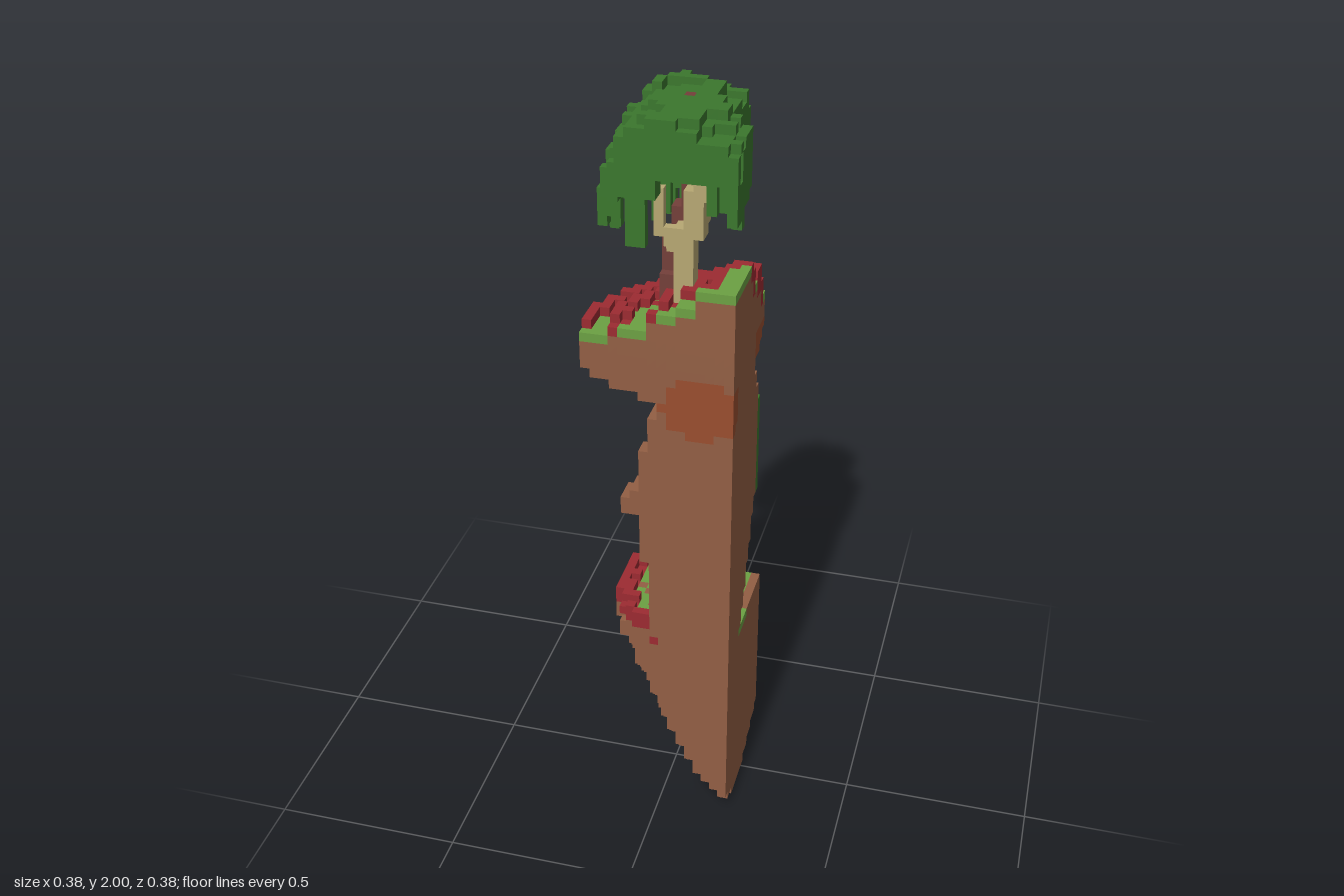
import * as THREE from 'three';

// Block grid: 16 x 84 x 16 cells
const N = 16, H = 84, U = 2 / H;
const px = (i) => (i - 7.5) * U;
const py = (j) => (j + 0.5) * U;

const colours = {
  rock: 0x935f44, terracotta: 0x994e2f, darkBand: 0x743f3a, redLeaf: 0x9c2b31,
  grass: 0x6ca143, leaf: 0x3b772d, paleWood: 0xb7a873,
};

const hash = (a, b, c = 0) => {
  const s = Math.sin(a * 127.1 + b * 311.7 + c * 74.7) * 43758.5453;
  return s - Math.floor(s);
};

// Piecewise-linear profile: rows of [y, a, b]
function profile(rows, y, k) {
  if (y <= rows[0][0]) return rows[0][k];
  for (let n = 1; n < rows.length; n++) {
    const p = rows[n - 1], q = rows[n];
    if (y <= q[0]) return p[k] + (q[k] - p[k]) * (y - p[0]) / (q[0] - p[0]);
  }
  return rows[rows.length - 1][k];
}

const baseRows = [[0, .02, .05], [.03, .03, .12], [.05, .045, .16], [.1, .085, .235], [.2, .155, .25],
  [.3, .21, .26], [.4, .255, .27], [.5, .305, .28], [.56, .335, .29], [.65, .34, .29]];
const columnRows = [[.55, .2, .14], [.7, .22, .2], [.8, .225, .24], [.9, .24, .28], [1, .24, .28],
  [1.1, .235, .285], [1.2, .215, .28], [1.25, .2, .26], [1.285, .19, .24], [1.305, .27, .25],
  [1.33, .34, .3], [1.365, .38, .335], [1.4, .385, .36], [1.43, .385, .385]];
// Terraces on the upper disc: [rx, rz, top level]
const terraces = [[.385, .385, 61], [.31, .32, 62], [.21, .275, 64], [.145, .225, 65], [.085, .2, 67]];
// Terracotta stains: centre x, y, z and radii
const stains = [[.11, 1.28, .19, .1, .085, .07], [.17, 1.32, -.1, .12, .07, .06], [-.04, 1.36, -.04, .17, .04, .14]];

const corner = (x, z, rx, rz) => Math.hypot((x - .19) / rx, (z - .19) / rz);
const columnD = (x, y, z) => corner(x, z, profile(columnRows, y, 1), profile(columnRows, y, 2));

export function createModel() {
  const cells = new Map();
  const key = (i, j, k) => i + ',' + j + ',' + k;
  const inside = (i, j, k) => i >= 0 && j >= 0 && k >= 0 && i < N && j < H && k < N;
  const put = (part, colour, i, j, k, keep = false) => {
    if (!inside(i, j, k) || (keep && cells.has(key(i, j, k)))) return;
    cells.set(key(i, j, k), { part, colour, i, j, k });
  };
  // pick(x, y, z, i, j, k) returns a colour name, or nothing for an empty cell
  const fill = (part, j0, j1, pick, keep) => {
    for (let j = j0; j < j1; j++) for (let i = 0; i < N; i++) for (let k = 0; k < N; k++) {
      const c = pick(px(i), py(j), px(k), i, j, k);
      if (c) put(part, c, i, j, k, keep);
    }
  };

  // Tapering lower rock with a stepped grassy shelf and red rim
  fill('lowerRock', 0, 27, (x, y, z, i, j, k) => {
    const t = (z - .05 + .08 * y) / profile(baseRows, y, 2);
    if (Math.abs(t) > 1) return;
    const edge = .19 - profile(baseRows, y, 1) * Math.sqrt(1 - t * t);
    const rough = z < .17 && y > .1 ? (hash(i, j, k) - .5) * .02 : 0;
    if (x < edge + rough) return;
    const top = i > 10 ? 23 : i > 7 ? 25 : x < edge + .045 && hash(i, k) > .4 ? 27 : 26;
    if (j >= top) return;
    const rim = x < edge + .045 || (z < -.17 && i < 10);
    if (rim && i < 10 && j >= top - 2) return 'redLeaf';
    if ((i === 10 || i === 7) && j >= 23) return hash(i, k, 8) > .75 ? 'terracotta' : 'redLeaf';
    if (j === top - 1) return hash(i, k, 5) > .85 ? 'rock' : 'grass';
    if (k > 0 && x < .06 && z < 0 && y > .42 && Math.sin(x * 40 + z * 25 + y * 9) > .55) return 'terracotta';
    return 'rock';
  });

  // Leaning main column, flaring into the upper disc
  fill('column', 21, 61, (x, y, z, i, j, k) => {
    const rough = i < 15 && k < 15 && y < 1.28 ? (hash(i, k, Math.floor(j / 4)) - .5) * .06 : 0;
    if (columnD(x, y, z) + rough > 1 || (y > 1.3 && i === 15 && k < 2)) return;
    const stained = stains.some(([a, b, c, r, s, t]) => Math.hypot((x - a) / r, (y - b) / s, (z - c) / t) < 1);
    return stained ? 'terracotta' : 'rock';
  });

  // Grass line on the cut outer face
  for (let k = 0; k < N; k++) put('lowerRock', k > 6 && k < 11 ? 'grass' : 'rock', 15, 22, k);

  // Side ledge
  fill('sideLedge', 40, 43, (x, y, z, i, j) => (x > -.1 && x < .02 && z > .13 && (j < 42 || x > -.08) ? 'rock' : null), true);

  // Terraced top of the disc with raised red lips
  fill('terrace', 58, 67, (x, y, z, i, j, k) => {
    let hit = null;
    for (const t of terraces) if (corner(x, z, t[0], t[1]) <= 1) hit = t;
    if (!hit || (i === 15 && k < 2)) return;
    const rim = k < 15 && corner(x, z, hit[0] - 1.4 * U, hit[1] - 1.4 * U) > 1;
    const top = hit[2] + (rim && hash(i, k, 2) < .85 ? 1 : 0);
    if (j >= top) return;
    if (rim && j >= hit[2] - 2) return hash(i, k, 2) > .9 ? 'grass' : 'redLeaf';
    if (j === top - 1) return hash(i, k, 3) > .9 ? 'redLeaf' : 'grass';
    return 'rock';
  });

  // Free-standing banded spire at the back
  fill('spire', 23, 44, (x, y, z, i, j, k) => {
    if (i < 5 || i > 8 || k > 3 || (i === 5 && k === 3) || (i === 8 && k === 3 && j > 36)) return;
    if (j > 41 && !(k === 1 && i < 7)) return;
    if (j > 39 && (i + k) % 3 === 2) return;
    if (j < 26) return 'redLeaf';
    if (j >= 28 && j < 30) return 'paleWood';
    if (j >= 30 && j < 33) return 'terracotta';
    if (j >= 36 && j < 38) return 'darkBand';
    return 'rock';
  });

  // Vines draped over the back of the column
  fill('vine', 36, 53, (x, y, z, i, j, k) => {
    const d = columnD(x, y, z), s = z - x;
    if (d < .95 || d > 1.11 || s < -.32 || s > .06) return;
    const top = 1.26 - Math.abs(s + .14) * .7;
    const strand = .06 + .28 * hash(Math.round(s / U), 7);
    if (y < top && y > top - strand) return 'leaf';
  }, true);

  // Small shrubs on the shelf
  for (const [i, k, h] of [[11, 7, 27], [12, 8, 28], [7, 7, 28], [14, 8, 26]]) {
    for (let j = 23; j < h; j++) put('shrub', 'leaf', i, j, k, true);
  }

  // Twisted trunks and branches traced as block paths
  const limb = (colour, pts, thick) => {
    const curve = new THREE.CatmullRomCurve3(pts.map((p) => new THREE.Vector3(...p)));
    for (const p of curve.getPoints(50)) {
      const i = Math.round(p.x / U + 7.5), j = Math.floor(p.y / U), k = Math.round(p.z / U + 7.5);
      for (let a = 0; a < thick; a++) for (let b = 0; b < thick; b++) put('trunk', colour, i + a, j, k + b);
    }
  };
  limb('paleWood', [[.02, 1.48, .09], [.04, 1.6, .08], [.05, 1.72, .08], [.1, 1.88, .1]], 2);
  limb('paleWood', [[.05, 1.64, .08], [.01, 1.68, .1], [-.02, 1.8, .11]], 1);
  limb('paleWood', [[.06, 1.72, .06], [.12, 1.8, .04], [.155, 1.88, .035]], 1);
  limb('darkBand', [[-.02, 1.5, .04], [-.01, 1.62, .01], [.02, 1.72, .01], [.03, 1.8, .01]], 2);
  limb('darkBand', [[.035, 1.8, .01], [.035, 1.98, .01]], 1);
  limb('darkBand', [[.03, 1.72, .0], [.05, 1.8, -.04], [.06, 1.88, -.06]], 1);

  // Domed canopy with ragged sides and hanging strands
  fill('canopy', 66, 84, (x, y, z, i, j, k) => {
    const d = Math.hypot(x - .03, z - .03) / .232;
    if (d > 1 || x < -.17 || Math.abs(x * 1.42 - z) > .325 || (x > .135 && z < .05)) return;
    if (d > .75 && hash(i, k, Math.floor(j / 3)) > .84) return;
    const left = Math.max(0, (-.05 - x) / .12);
    const top = 2.01 - .2 * left * left - .08 * d ** 4
      - U * 2 * hash(Math.floor(i / 2), Math.floor(k / 2), 4) * (d > .35 ? 1 : .5);
    const opening = x > 0 && x < .13 && z > .08;
    let bottom = opening ? 1.85 : 1.88 - .11 * d * d - .03 * hash(i, k, 6);
    const r = hash(i, k, 9);
    if (!opening && d > .68 && r > .5) bottom -= (r - .4) * (x > .13 ? .1 : .29);
    if (left > .6) bottom = Math.min(bottom, top - .09);
    if (y < top && y > bottom) return 'leaf';
  }, true);

  return buildBlocks(cells, key);
}

// Exposed block faces, gathered into one mesh per part and colour
function buildBlocks(cells, key) {
  const mats = {};
  for (const name in colours) {
    mats[name] = new THREE.MeshStandardMaterial({ color: colours[name] });
    mats[name].name = name;
  }
  const axes = [[1, 0, 0], [0, 1, 0], [0, 0, 1]];
  const parts = new Map();
  for (const c of cells.values()) {
    const id = c.part + '|' + c.colour;
    if (!parts.has(id)) parts.set(id, { pos: [], nor: [], idx: [] });
    const g = parts.get(id);
    const centre = [px(c.i), py(c.j), px(c.k)];
    for (let a = 0; a < 3; a++) for (const s of [1, -1]) {
      const n = axes[a].map((v) => v * s);
      if (cells.has(key(c.i + n[0], c.j + n[1], c.k + n[2]))) continue;
      const u = axes[(a + 1) % 3], v = axes[(a + 2) % 3], o = g.pos.length / 3;
      for (const [p, q] of [[-1, -1], [1, -1], [1, 1], [-1, 1]]) {
        for (let m = 0; m < 3; m++) g.pos.push(centre[m] + (n[m] + u[m] * p * s + v[m] * q) * U / 2);
        g.nor.push(...n);
      }
      g.idx.push(o, o + 1, o + 2, o, o + 2, o + 3);
    }
  }
  const group = new THREE.Group();
  group.name = 'rockIsland';
  for (const [id, g] of parts) {
    if (!g.idx.length) continue;
    const [part, colour] = id.split('|');
    const geo = new THREE.BufferGeometry();
    geo.setAttribute('position', new THREE.Float32BufferAttribute(g.pos, 3));
    geo.setAttribute('normal', new THREE.Float32BufferAttribute(g.nor, 3));
    geo.setIndex(g.idx);
    const mesh = new THREE.Mesh(geo, mats[colour]);
    mesh.name = part + ' ' + colour;
    group.add(mesh);
  }
  return group;
}
